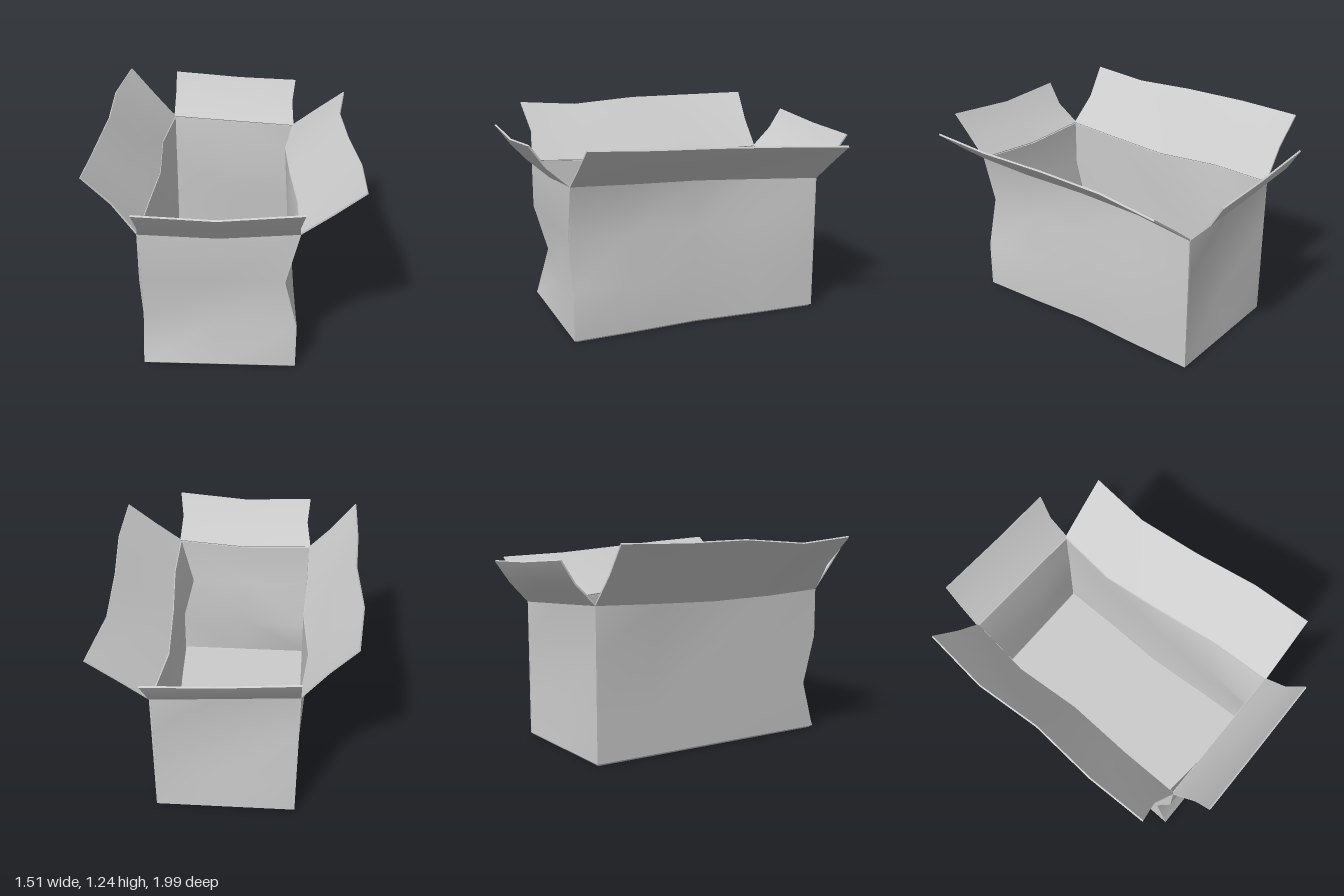
import * as THREE from 'three';
import { toCreasedNormals } from 'three/addons/utils/BufferGeometryUtils.js';

const BOARD = 0.01; // cardboard thickness
const material = new THREE.MeshStandardMaterial({ color: 0xcccccc });

// Thin sheet with thickness from a grid of points: rows run bottom to top,
// columns run left to right as seen from the outside.
function sheet(name, rows) {
  const nr = rows.length, nc = rows[0].length, n = nr * nc;
  const outer = new THREE.BufferGeometry();
  const pos = rows.flat(2), index = [];
  const quad = (a, b, c, d) => index.push(a, b, c, a, c, d);
  for (let r = 0; r < nr - 1; r++)
    for (let c = 0; c < nc - 1; c++) {
      const a = r * nc + c;
      quad(a, a + 1, a + nc + 1, a + nc);
    }
  outer.setAttribute('position', new THREE.Float32BufferAttribute(pos, 3));
  outer.setIndex(index.slice());
  outer.computeVertexNormals();
  const normal = outer.attributes.normal.array;
  const inner = pos.map((p, i) => p - normal[i] * BOARD);

  // inner face, reversed
  const half = index.length;
  for (let i = 0; i < half; i += 3) index.push(index[i] + n, index[i + 2] + n, index[i + 1] + n);
  // cut edges of the board
  const loop = [];
  for (let c = 0; c < nc - 1; c++) loop.push(c);
  for (let r = 0; r < nr - 1; r++) loop.push(r * nc + nc - 1);
  for (let c = nc - 1; c > 0; c--) loop.push((nr - 1) * nc + c);
  for (let r = nr - 1; r > 0; r--) loop.push(r * nc);
  loop.forEach((a, i) => {
    const b = loop[(i + 1) % loop.length];
    quad(a, a + n, b + n, b);
  });

  const geometry = new THREE.BufferGeometry();
  geometry.setAttribute('position', new THREE.Float32BufferAttribute([...pos, ...inner], 3));
  geometry.setIndex(index);
  const mesh = new THREE.Mesh(toCreasedNormals(geometry, 0.6), material);
  mesh.name = name;
  return mesh;
}

// One row of points from separate coordinate lists; a single number fills the row.
const row = (x, y, z) => {
  const count = Math.max(...[x, y, z].map((v) => (Array.isArray(v) ? v.length : 1)));
  const at = (v, i) => (Array.isArray(v) ? v[i] : v);
  return Array.from({ length: count }, (_, i) => [at(x, i), at(y, i), at(z, i)]);
};

const FOOT = 0.012; // height of the worn bottom edge
const zLeft = [0.77, 0.4, 0, -0.4, -0.79];
const zRight = [-0.79, -0.4, 0, 0.4, 0.77];
const xFootLeft = [0.41, 0.4, 0.38, 0.4, 0.41];
const xFootRight = [-0.415, -0.43, -0.445, -0.46, -0.475];

// Four walls, each with four rows up to the rim, and the two outer rows of its flap
const sides = {
  front: {
    wall: [
      row([-0.475, -0.03, 0.41], FOOT, 0.77),
      row([-0.475, -0.03, 0.41], 0.3, [0.685, 0.725, 0.77]),
      row([-0.475, -0.05, 0.335], 0.6, 0.768),
      row([-0.475, -0.03, 0.41], [0.895, 0.88, 0.915], 0.77),
    ],
    flap: [
      row([-0.45, -0.03, 0.398], [1.01, 0.995, 1.03], 0.9),
      row([-0.465, -0.03, 0.418], [1.14, 1.12, 1.16], 0.995),
    ],
  },
  left: {
    wall: [
      row(xFootLeft, FOOT, zLeft),
      row([0.41, 0.4, 0.39, 0.4, 0.41], 0.3, zLeft),
      row([0.335, 0.36, 0.37, 0.375, 0.41], 0.6, zLeft),
      row([0.41, 0.41, 0.375, 0.355, 0.41], [0.915, 0.9, 0.88, 0.85, 0.835], zLeft),
    ],
    flap: [
      row([0.58, 0.575, 0.54, 0.525, 0.575], [1.04, 1.02, 0.995, 0.98, 0.96], zLeft),
      row([0.748, 0.752, 0.71, 0.69, 0.745], [1.172, 1.15, 1.126, 1.1, 1.084], zLeft),
    ],
  },
  back: {
    wall: [
      row([0.41, 0.03, -0.415], FOOT, -0.79),
      row([0.41, 0.03, -0.415], 0.3, [-0.79, -0.765, -0.79]),
      row([0.41, 0.03, -0.415], 0.6, [-0.79, -0.745, -0.79]),
      row([0.41, 0.03, -0.415], [0.835, 0.86, 0.89], -0.79),
    ],
    flap: [
      row([0.4, 0.03, -0.41], [0.96, 0.98, 1.01], -0.91),
      row([0.42, 0.03, -0.408], [1.09, 1.105, 1.14], -0.993),
    ],
  },
  right: {
    wall: [
      row(xFootRight, FOOT, zRight),
      row(xFootRight, 0.3, [-0.79, -0.4, 0, 0.36, 0.685]),
      row(xFootRight, 0.6, zRight),
      row([-0.415, -0.463, -0.437, -0.463, -0.475], [0.89, 0.88, 0.865, 0.875, 0.895], zRight),
    ],
    flap: [
      row([-0.555, -0.6, -0.58, -0.605, -0.61], [1.06, 1.06, 1.045, 1.035, 1.06], [-0.783, -0.4, 0, 0.39, 0.735]),
      row([-0.7, -0.745, -0.723, -0.753, -0.755], [1.23, 1.225, 1.23, 1.2, 1.23], [-0.8, -0.4, 0, 0.4, 0.765]),
    ],
  },
};

// Base with a small bevel round its edge, meeting the foot of the walls
function base() {
  const line = (i, z, rim) => {
    const a = xFootRight[i], b = xFootLeft[4 - i];
    return row([a, a + FOOT, b - FOOT, b], rim ? FOOT : [FOOT, 0, 0, FOOT], z);
  };
  return sheet('base', [
    line(0, -0.79, true),
    line(0, -0.79 + FOOT),
    line(1, -0.4), line(2, 0), line(3, 0.4),
    line(4, 0.77 - FOOT),
    line(4, 0.77, true),
  ]);
}

export function createModel() {
  const box = new THREE.Group();
  box.name = 'openCardboardBox';
  box.add(base());
  for (const [name, { wall, flap }] of Object.entries(sides)) {
    box.add(sheet(name + 'Wall', wall));
    box.add(sheet(name + 'Flap', [wall[3], ...flap])); // hinged on the rim
  }
  return box;
}
